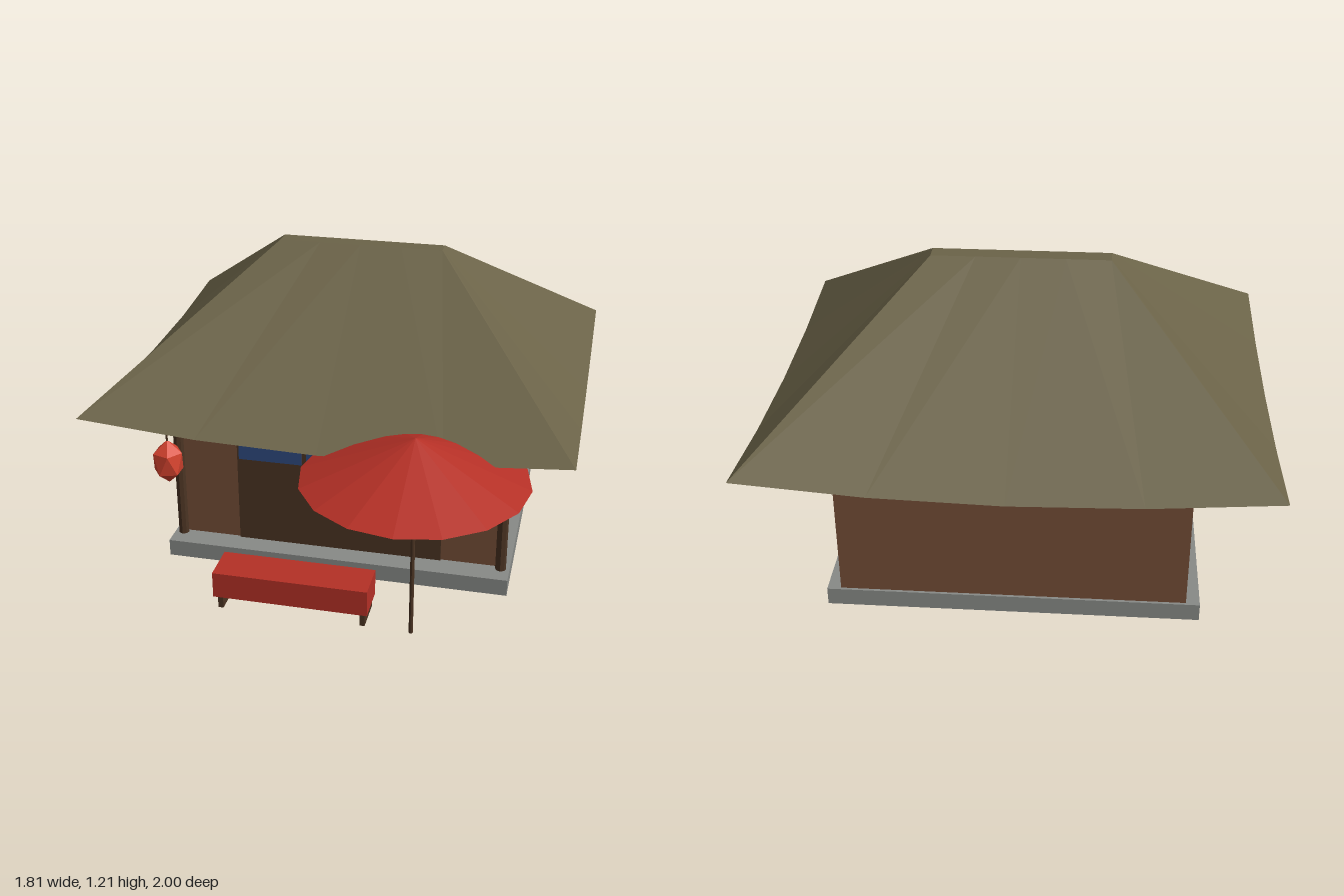
import * as THREE from 'three';

const mat = (name, color, extra = {}) => {
  const m = new THREE.MeshStandardMaterial({ color, flatShading: true, ...extra });
  m.name = name;
  return m;
};

export function createModel() {
  const model = new THREE.Group();
  model.name = 'teaHouse';
  const thatch = mat('thatch olive', 0x6b6348);
  const wall = mat('wall brown', 0x744d37);
  const wood = mat('dark wood', 0x4b3423);
  const stone = mat('stone grey', 0x888a87);
  const cloth = mat('curtain blue', 0x2f4a80);
  const red = mat('red', 0xb53026);
  const glow = mat('lantern red', 0xd6432f);

  const add = (name, geometry, material, x = 0, y = 0, z = 0) => {
    const mesh = new THREE.Mesh(geometry, material);
    mesh.name = name;
    mesh.position.set(x, y, z);
    model.add(mesh);
    return mesh;
  };
  // Box given by its extents on each axis
  const box = (name, material, [x0, x1], [y0, y1], [z0, z1]) =>
    add(name, new THREE.BoxGeometry(x1 - x0, y1 - y0, z1 - z0), material,
      (x0 + x1) / 2, (y0 + y1) / 2, (z0 + z1) / 2);
  const rod = (name, r, sides, y0, y1, x, z) =>
    add(name, new THREE.CylinderGeometry(r, r, y1 - y0, sides), wood, x, (y0 + y1) / 2, z);

  // House body
  box('foundation', stone, [-0.68, 0.68], [0, 0.068], [-0.73, 0.28]);
  box('walls', wall, [-0.63, 0.63], [0.068, 0.675], [-0.72, 0.185]);
  box('doorPanel', wood, [-0.408, 0.408], [0.068, 0.5], [0.185, 0.193]);
  for (const x of [-0.272, 0, 0.272])
    box('curtain', cloth, [x - 0.126, x + 0.126], [0.43, 0.637], [0.197, 0.203]);
  for (const s of [-1, 1]) rod('cornerPost', 0.021, 8, -0.001, 0.675, s * 0.645, 0.2);

  // Hipped roof: rings of 16 points, with eaves that lift toward the corners
  const N = 4, CZ = -0.23;
  const ring = (w, d, y, lift) => {
    const corners = [[1, 1], [1, -1], [-1, -1], [-1, 1]];
    const out = [];
    corners.forEach((a, i) => {
      const b = corners[(i + 1) % 4];
      for (let k = 0; k < N; k++) {
        const t = k / N;
        out.push([w * (a[0] + (b[0] - a[0]) * t), y + lift * (2 * t - 1) ** 2,
          CZ + d * (a[1] + (b[1] - a[1]) * t)]);
      }
    });
    return out;
  };
  const rings = [ring(0.6, 0.42, 0.67, 0), ring(0.905, 0.77, 0.662, 0.048),
    ring(0.32, 0.032, 1.205, 0), ring(0, 0, 1.205, 0)];
  const pos = [];
  for (let r = 0; r < 3; r++)
    for (let i = 0; i < 4 * N; i++) {
      const j = (i + 1) % (4 * N), a = rings[r], b = rings[r + 1];
      pos.push(...a[i], ...a[j], ...b[j], ...a[i], ...b[j], ...b[i]);
    }
  const roof = new THREE.BufferGeometry();
  roof.setAttribute('position', new THREE.Float32BufferAttribute(pos, 3));
  roof.computeVertexNormals();
  add('roof', roof, thatch);

  // Hanging lantern on its bracket
  box('lanternBracket', wood, [-0.657, -0.637], [0.572, 0.592], [0.2, 0.333]);
  rod('lanternCord', 0.004, 6, 0.53, 0.575, -0.65, 0.308);
  const lantern = new THREE.IcosahedronGeometry(0.065, 0);
  lantern.rotateZ(-Math.atan(2 / (1 + Math.sqrt(5))));
  lantern.scale(1, 1.4, 1);
  add('lantern', lantern, glow, -0.65, 0.446, 0.308);

  // Parasol
  add('parasolCanopy', new THREE.ConeGeometry(0.405, 0.158, 16), red, 0.363, 0.719, 0.593);
  rod('parasolPole', 0.008, 8, 0, 0.66, 0.363, 0.593);

  // Bench
  box('benchSeat', red, [-0.39, 0.2], [0.052, 0.155], [0.448, 0.602]);
  for (const x of [-0.365, 0.18])
    box('benchLeg', wood, [x - 0.01, x + 0.01], [0, 0.054], [0.458, 0.592]);

  return model;
}
